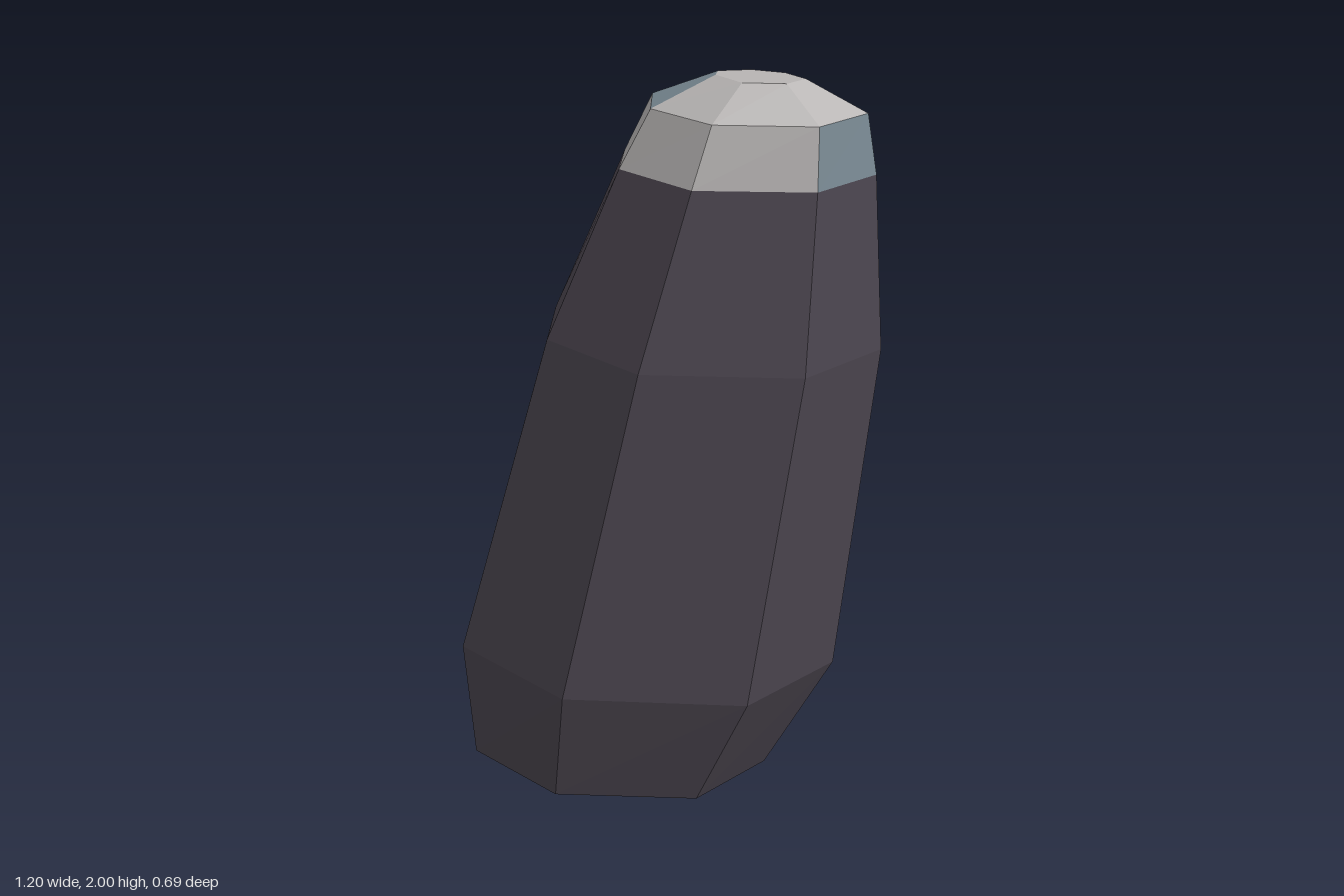
import * as THREE from 'three';

// Seven-sided cross-sections from bottom to top, each listing [x, z] corners
// running from the back of the -x side, round the front, to the back.
const RINGS = [
  { y: 0.00, p: [[-0.56, -0.15], [-0.51, 0.10], [-0.215, 0.265], [0.17, 0.18], [0.305, -0.07], [0.07, -0.245], [-0.24, -0.28]] },
  { y: 0.35, p: [[-0.60, -0.18], [-0.53, 0.125], [-0.165, 0.34], [0.325, 0.24], [0.495, -0.07], [0.18, -0.30], [-0.22, -0.345]] },
  { y: 1.29, p: [[-0.33, -0.16], [-0.27, 0.10], [0.035, 0.285], [0.45, 0.195], [0.595, -0.07], [0.335, -0.26], [0.0, -0.295]] },
  { y: 1.76, p: [[-0.12, -0.13], [-0.08, 0.06], [0.15, 0.20], [0.455, 0.13], [0.565, -0.07], [0.37, -0.21], [0.11, -0.235]] },
  { y: 1.92, p: [[-0.04, -0.115], [0.0, 0.045], [0.19, 0.16], [0.45, 0.105], [0.54, -0.06], [0.37, -0.18], [0.16, -0.205]] },
  { y: 2.00, p: [[0.145, -0.075], [0.15, -0.03], [0.235, 0.035], [0.345, 0.015], [0.38, -0.05], [0.315, -0.10], [0.225, -0.11]] },
];
const SIDES = 7;

// Joins rings into a faceted skin; pick(level, side) gives each facet's material index.
function skin(rings, { bottom = false, top = false, pick = () => 0 }) {
  const pos = [];
  const geometry = new THREE.BufferGeometry();
  const corner = (r, i) => [rings[r].p[i % SIDES][0], rings[r].y, rings[r].p[i % SIDES][1]];
  const face = (material, ...corners) => {
    geometry.addGroup(pos.length / 3, (corners.length - 2) * 3, material);
    for (let k = 1; k < corners.length - 1; k++) pos.push(...corners[0], ...corners[k], ...corners[k + 1]);
  };
  for (let r = 0; r < rings.length - 1; r++) {
    for (let i = 0; i < SIDES; i++) {
      face(pick(r, i), corner(r, i), corner(r, i + 1), corner(r + 1, i + 1), corner(r + 1, i));
    }
  }
  const order = [...Array(SIDES).keys()];
  if (top) face(0, ...order.map((i) => corner(rings.length - 1, i)));
  if (bottom) face(0, ...order.reverse().map((i) => corner(0, i)));
  geometry.setAttribute('position', new THREE.Float32BufferAttribute(pos, 3));
  geometry.computeVertexNormals();
  return geometry;
}

function flat(name, color) {
  const m = new THREE.MeshStandardMaterial({ color, flatShading: true });
  m.name = name;
  return m;
}

export function createModel() {
  const darkStone = flat('dark stone', 0x4c4650);
  const paleStone = flat('pale stone', 0xb8b5b4);
  const blueStone = flat('blue grey stone', 0x7a8a94);

  const group = new THREE.Group();
  group.name = 'standingStone';

  // Leaning dark shaft
  const shaft = new THREE.Mesh(skin(RINGS.slice(0, 4), { bottom: true }), [darkStone]);
  shaft.name = 'shaft';

  // Pale tip with a few blue-grey facets
  const blueFacets = new Set(['0,3', '0,6', '1,0']);
  const tip = new THREE.Mesh(
    skin(RINGS.slice(3), { top: true, pick: (r, i) => (blueFacets.has(`${r},${i}`) ? 1 : 0) }),
    [paleStone, blueStone],
  );
  tip.name = 'tip';

  group.add(shaft, tip);
  return group;
}
